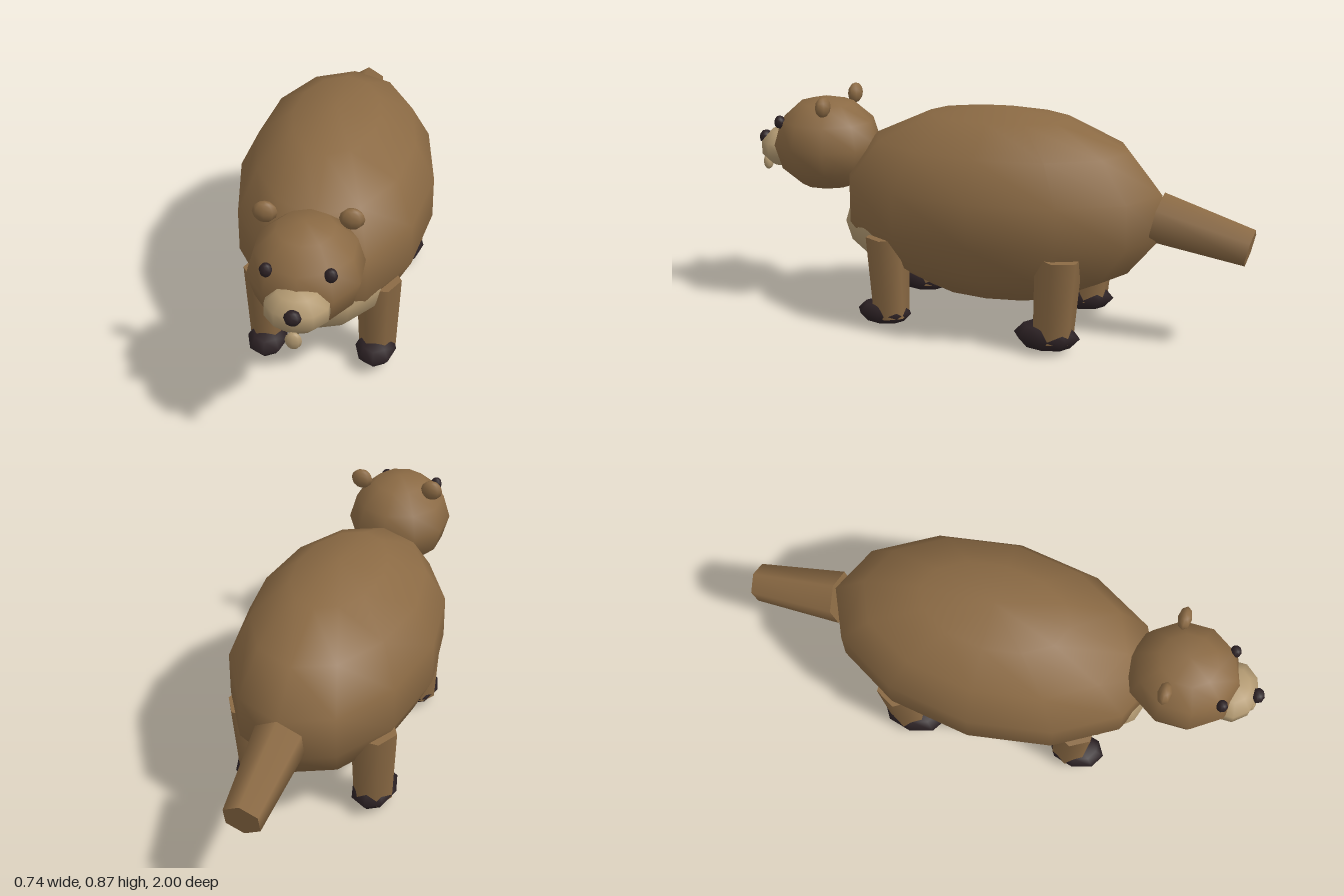
import * as THREE from 'three';

const material = (name, color) => {
  const m = new THREE.MeshStandardMaterial({ color });
  m.name = name;
  return m;
};

export function createModel() {
  const group = new THREE.Group();
  const fur = material('brownFur', 0x8b6a44);
  const cream = material('tan', 0xb39a72);
  const dark = material('darkBrown', 0x2c2124);

  // Low-sided ellipsoid; a vertex column always faces the front
  function blob(name, mat, [x, y, z], [rx, ry, rz], across, down) {
    const geo = new THREE.SphereGeometry(1, across, down, Math.PI / 2);
    geo.scale(rx, ry, rz);
    const mesh = new THREE.Mesh(geo, mat);
    mesh.name = name;
    mesh.position.set(x, y, z);
    group.add(mesh);
    return mesh;
  }

  // Six-sided tapered limb running between two points
  function limb(name, mat, from, to, r0, r1, turn) {
    const a = new THREE.Vector3(...from), b = new THREE.Vector3(...to);
    const dir = b.clone().sub(a);
    const geo = new THREE.CylinderGeometry(r1, r0, dir.length(), 6, 1, false, turn);
    const mesh = new THREE.Mesh(geo, mat);
    mesh.name = name;
    mesh.position.copy(a).add(b).multiplyScalar(0.5);
    mesh.quaternion.setFromUnitVectors(new THREE.Vector3(0, 1, 0), dir.normalize());
    group.add(mesh);
    return mesh;
  }

  // Torso and chest patch
  blob('body', fur, [0, 0.485, -0.02], [0.378, 0.375, 0.645], 12, 7);
  blob('bellyPatch', cream, [0, 0.385, 0.3], [0.255, 0.2, 0.312], 12, 8);

  // Head and face
  blob('head', fur, [0, 0.658, 0.7], [0.203, 0.188, 0.215], 10, 6);
  blob('muzzle', cream, [0, 0.631, 0.88], [0.118, 0.082, 0.102], 10, 5);
  blob('nose', dark, [0, 0.659, 0.974], [0.03, 0.028, 0.026], 8, 6);
  blob('tooth', cream, [0, 0.56, 0.967], [0.029, 0.034, 0.017], 8, 6);

  // Mirrored parts
  for (const [side, s] of [['left', 1], ['right', -1]]) {
    blob(side + 'Eye', dark, [s * 0.107, 0.75, 0.853], [0.023, 0.026, 0.022], 8, 6);
    blob(side + 'Ear', fur, [s * 0.147, 0.832, 0.645], [0.044, 0.04, 0.026], 8, 6);

    limb(side + 'FrontLeg', fur, [s * 0.207, 0.05, 0.35], [s * 0.21, 0.37, 0.36], 0.069, 0.083, Math.PI / 2);
    blob(side + 'FrontFoot', dark, [s * 0.205, 0.063, 0.38], [0.077, 0.048, 0.11], 8, 4);

    limb(side + 'BackLeg', fur, [s * 0.235, 0.05, -0.31], [s * 0.242, 0.37, -0.33], 0.077, 0.09, Math.PI / 2);
    blob(side + 'BackFoot', dark, [s * 0.235, 0.06, -0.285], [0.086, 0.057, 0.128], 8, 4);
  }

  // Blunt tail, tilted slightly down
  limb('tail', fur, [0, 0.483, -0.635], [0, 0.4, -0.98], 0.1, 0.073, 0);

  return group;
}
